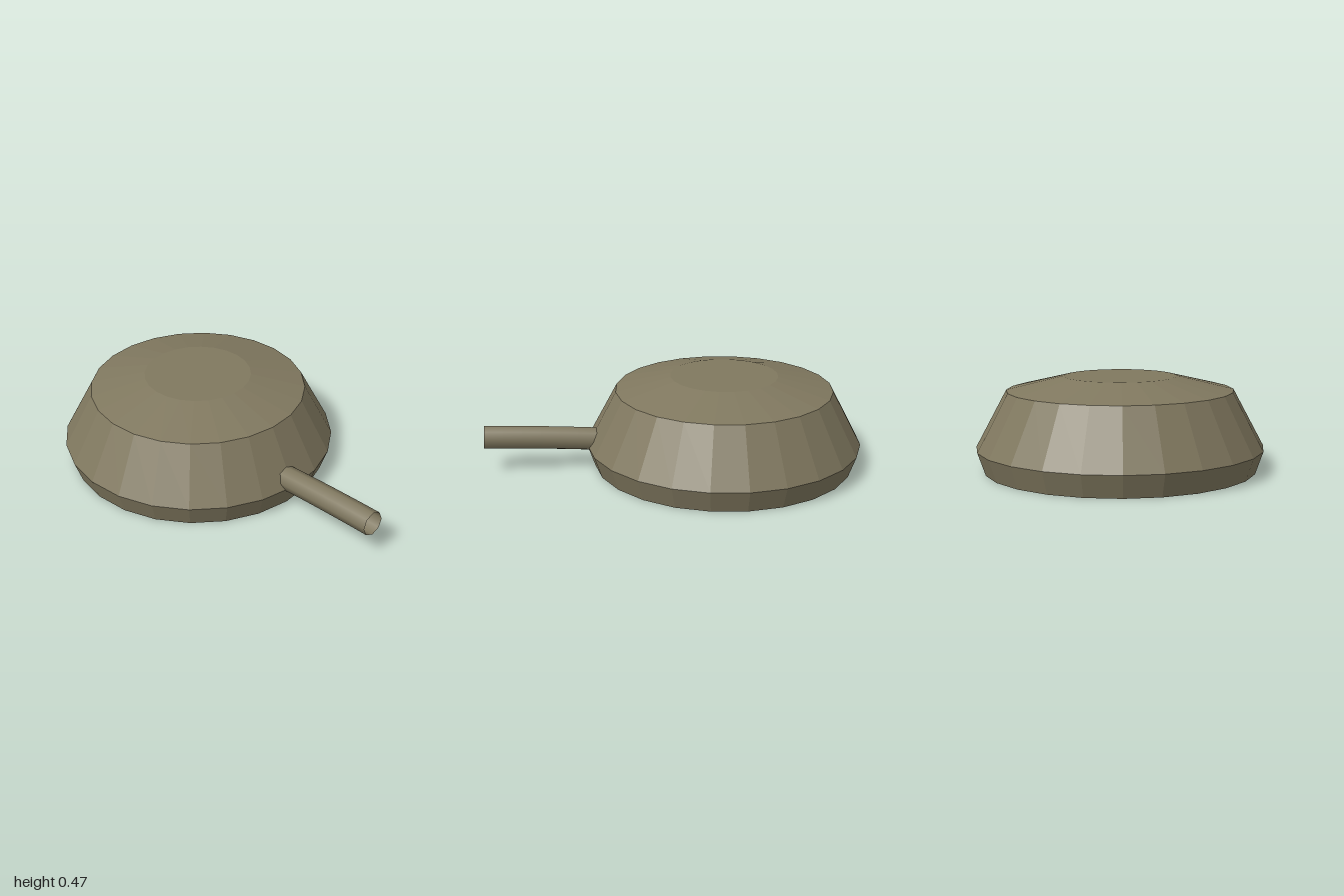
import * as THREE from 'three';

export function createModel() {
  const model = new THREE.Group();
  const drab = new THREE.MeshStandardMaterial({ color: 0x80785f, side: THREE.DoubleSide });
  drab.name = 'drab olive';

  // Hollow faceted shell: down the inside, around the rim, up the outside
  const profile = [
    [0, 0.445], [0.27, 0.445], [0.545, 0.375], [0.695, 0.115], [0.655, 0],
    [0.69, 0], [0.73, 0.115], [0.575, 0.405], [0.285, 0.475], [0, 0.475],
  ].map(([r, y]) => new THREE.Vector2(r, y));
  const shellGeometry = new THREE.LatheGeometry(profile, 24).toNonIndexed();
  shellGeometry.computeVertexNormals(); // flat facets
  const shell = new THREE.Mesh(shellGeometry, drab);
  shell.name = 'shell';
  shell.position.x = -0.27;
  model.add(shell);

  // Open, slightly bowed eight-sided pipe on the model's left
  const path = new THREE.QuadraticBezierCurve3(
    new THREE.Vector3(0.415, 0.151, 0),
    new THREE.Vector3(0.7, 0.176, 0),
    new THREE.Vector3(0.996, 0.188, 0),
  );
  const pipe = new THREE.Mesh(new THREE.TubeGeometry(path, 6, 0.063, 8, false), drab);
  pipe.name = 'pipe';
  model.add(pipe);

  return model;
}
